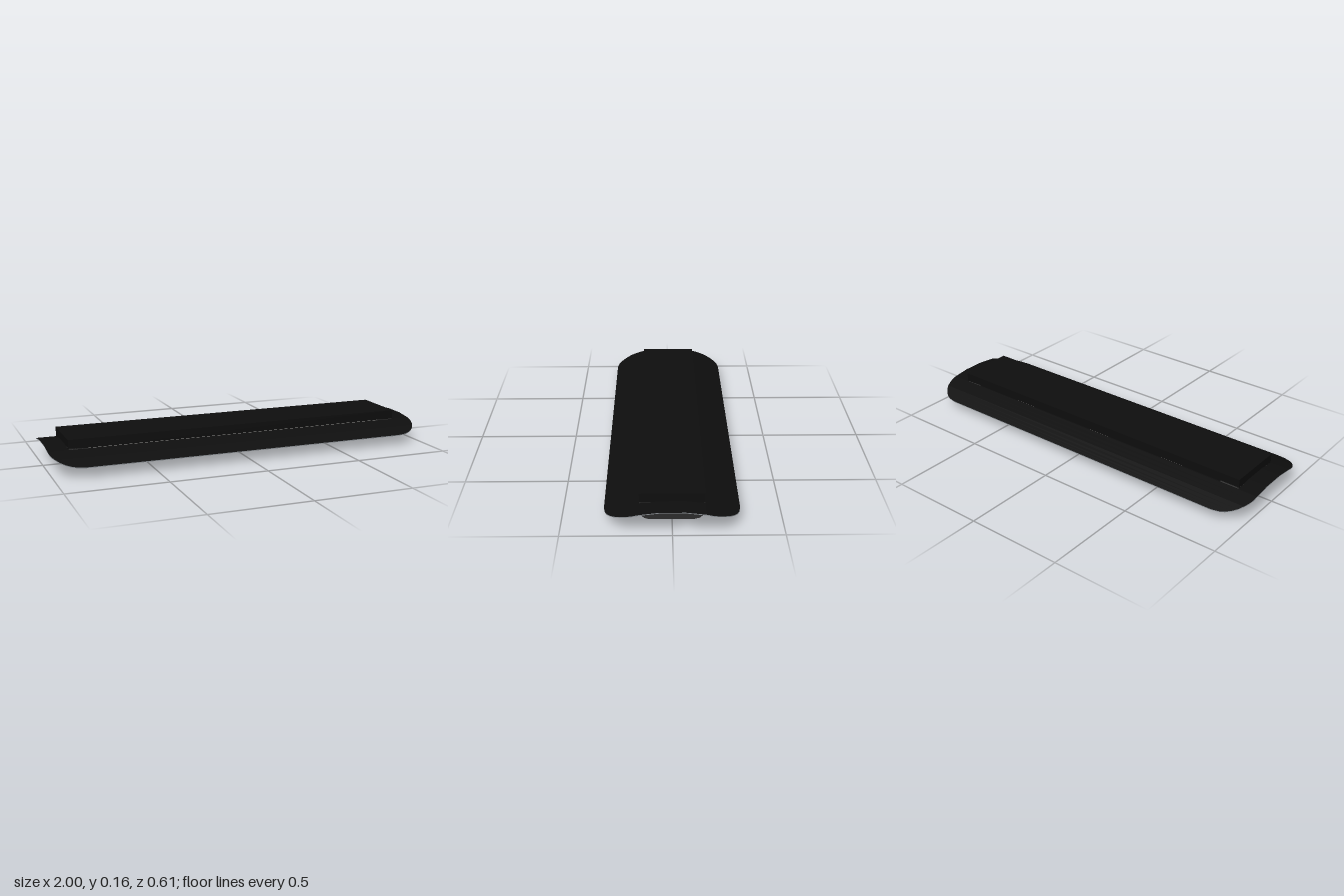
import * as THREE from 'three';

const mat = (name, color) => {
  const m = new THREE.MeshStandardMaterial({ color });
  m.name = name;
  return m;
};

// Height of the shade across its width: five flat facets
const arc = [[0, 0.116], [0.06, 0.116], [0.15, 0.105], [0.23, 0.084], [0.307, 0.056]];
function shadeHeight(z) {
  const a = Math.abs(z);
  for (let i = 1; i < arc.length; i++) {
    const [z0, y0] = arc[i - 1], [z1, y1] = arc[i];
    if (a <= z1 + 1e-6) return y0 + (y1 - y0) * (a - z0) / (z1 - z0);
  }
  return arc[arc.length - 1][1];
}
// Half length at z, giving the plan its rounded corners
function halfLength(z) {
  const d = Math.min(Math.max(Math.abs(z) - 0.15, 0) / 0.157, 1);
  return 0.85 + 0.15 * Math.sqrt(1 - d * d);
}

function strip(rowA, rowB) {
  const p = [];
  for (let i = 0; i < rowA.length - 1; i++) {
    const a = rowA[i], b = rowB[i], c = rowB[i + 1], d = rowA[i + 1];
    p.push(...a, ...b, ...c, ...a, ...c, ...d);
  }
  const g = new THREE.BufferGeometry();
  g.setAttribute('position', new THREE.Float32BufferAttribute(p, 3));
  g.computeVertexNormals();
  return g;
}

// Outline of an end cap, narrowing toward its bottom
function capShape(w, bottom, top) {
  const half = [[w, top], [w, 0.052], [w - 0.006, 0.028], [w - 0.023, bottom + 0.008], [w - 0.048, bottom]];
  const pts = [...half, ...half.map(([x, y]) => [-x, y]).reverse()];
  return new THREE.Shape(pts.map(([x, y]) => new THREE.Vector2(x, y)));
}

export function createModel() {
  const black = mat('black enamel', 0x0e0e0e);
  const grey = mat('grey underside', 0x888d92);
  const dark = mat('dark plastic', 0x393939);
  const panelGrey = mat('reflector grey', 0xaaa8a5);
  const white = mat('tube white', 0xefefea);
  const group = new THREE.Group();
  const add = (parent, name, geo, material) => {
    const m = new THREE.Mesh(geo, material);
    m.name = name;
    parent.add(m);
    return m;
  };

  // Curved shade: black upper skin, grey lower skin and rim
  const zs = [0, 0.06, 0.15, 0.18, 0.205, 0.23, 0.255, 0.275, 0.29, 0.3, 0.307];
  const zAll = [...zs.slice(1).reverse().map(z => -z), ...zs];
  const row = (side, drop) => zAll.map(z => [side * halfLength(z), shadeHeight(z) - drop, z]);
  const t = 0.004;
  const shade = new THREE.Group();
  shade.name = 'shade';
  group.add(shade);
  add(shade, 'shadeTop', strip(row(-1, 0), row(-1, 0).map((p, i) => row(1, 0)[i])).scale(1, 1, 1), black);
  add(shade, 'shadeUnderside', strip(row(1, t), row(-1, t)), grey);
  shade.children.forEach(m => {
    // Both skins must face away from each other
    const up = m.geometry.attributes.normal.getY(0) > 0;
    if (up !== (m.name === 'shadeTop')) {
      const p = m.geometry.attributes.position;
      const a = new THREE.Vector3(), b = new THREE.Vector3();
      for (let i = 0; i < p.count; i += 3) {
        a.fromBufferAttribute(p, i + 1);
        b.fromBufferAttribute(p, i + 2);
        p.setXYZ(i + 1, b.x, b.y, b.z);
        p.setXYZ(i + 2, a.x, a.y, a.z);
      }
      m.geometry.computeVertexNormals();
    }
  });
  const rimMat = grey.clone();
  rimMat.name = 'grey rim';
  rimMat.side = THREE.DoubleSide;
  for (const s of [-1, 1]) {
    add(shade, 'shadeEndRim', strip(row(s, 0), row(s, t)), rimMat);
    const x = halfLength(0.307), y = shadeHeight(0.307);
    const edge = d => [[-x, y - d, s * 0.307], [x, y - d, s * 0.307]];
    add(shade, 'shadeLongRim', strip(edge(0), edge(t)), rimMat);
  }

  // Ballast housing on top and reflector panel below
  add(group, 'housing', new THREE.BoxGeometry(1.8, 0.047, 0.296), black).position.y = 0.1315;
  add(group, 'reflectorPanel', new THREE.BoxGeometry(1.62, 0.012, 0.29), panelGrey).position.y = 0.104;

  // Twin lamp tubes
  for (const z of [-0.083, 0.083]) {
    const tube = add(group, 'lampTube', new THREE.CylinderGeometry(0.039, 0.039, 1.61, 24), white);
    tube.rotation.z = Math.PI / 2;
    tube.position.set(0, 0.061, z);
  }

  // End caps with sloping outer faces and a pale socket plate inside
  for (const s of [1, -1]) {
    const cap = new THREE.Group();
    cap.name = s > 0 ? 'leftEndCap' : 'rightEndCap';
    cap.rotation.y = s > 0 ? 0 : Math.PI;
    group.add(cap);
    const body = new THREE.ExtrudeGeometry(capShape(0.148, 0, 0.112), { depth: 1, bevelEnabled: false });
    body.rotateY(Math.PI / 2);
    const p = body.attributes.position;
    for (let i = 0; i < p.count; i++) {
      const y = p.getY(i);
      const inner = 0.8 + 0.015 * Math.max(0, 1 - y / 0.028);
      p.setX(i, p.getX(i) > 0.5 ? 0.86 + 0.36 * y : inner);
    }
    body.computeVertexNormals();
    add(cap, 'capBody', body, dark);
    const plate = new THREE.ExtrudeGeometry(capShape(0.14, 0.008, 0.1), { depth: 0.012, bevelEnabled: false });
    plate.rotateY(Math.PI / 2).translate(0.797, 0, 0);
    add(cap, 'socketPlate', plate, white);
  }
  return group;
}
